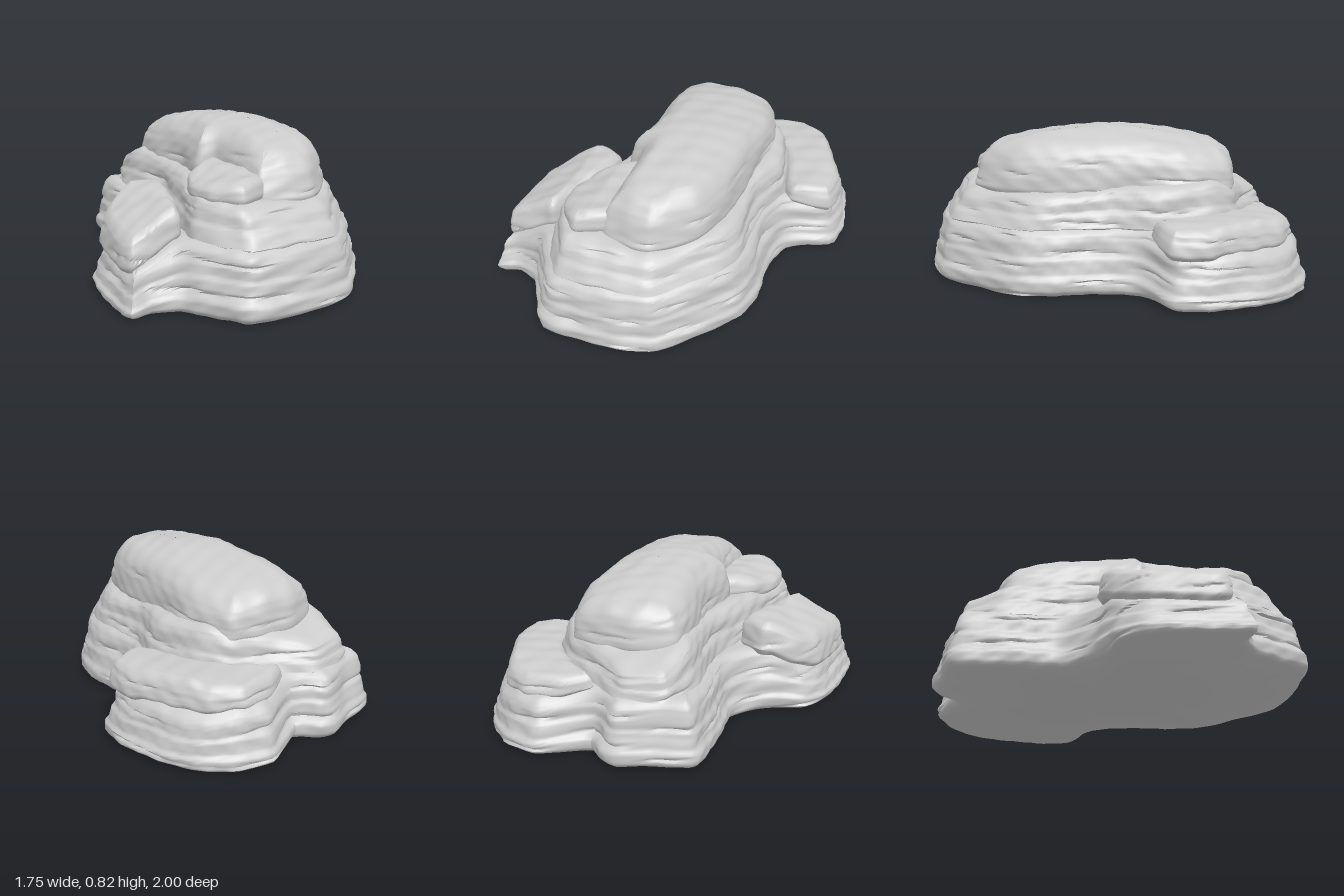
import * as THREE from 'three';
import { toCreasedNormals } from 'three/addons/utils/BufferGeometryUtils.js';

const N = 150;
const material = new THREE.MeshStandardMaterial({ color: 0xcccccc });
const { lerp, clamp } = THREE.MathUtils;

// Smooth repeatable roughness: broad dents, fine dents and short horizontal cracks
const rough = (x, y, z) =>
  0.4 * Math.sin(9 * x + 4 * z + 21 * y) * Math.sin(10 * z - 6 * x + 13 * y + 1) +
  0.35 * Math.sin(31 * z + 27 * x - 29 * y) * Math.sin(11 * x - 17 * z + 39 * y) -
  1.1 * Math.max(0, Math.sin(88 * y + 2 * x - 3 * z)) ** 4
    * Math.max(0, Math.sin(9 * x - 8 * z + 47 * y)) ** 2;

// Profile value: list of [height fraction, inset], linearly interpolated
function insetAt(profile, t) {
  for (let k = 1; k < profile.length; k++) {
    const [t0, a] = profile[k - 1], [t1, b] = profile[k];
    if (t <= t1) return lerp(a, b, (t - t0) / (t1 - t0));
  }
  return profile[profile.length - 1][1];
}

// A rock bed: closed plan outline, side profile, bottom and top height fields.
// The top closes in rings towards a spine [x, z0, z1]; lean tilts the front face back.
function slab(name, { outline, profile, spine, bottom, top, amp = 0.01, sides = 22, lean = 0 }) {
  const curve = new THREE.CatmullRomCurve3(
    outline.map(([x, z]) => new THREE.Vector3(x, 0, z)), true, 'catmullrom', 0.28);
  const pts = curve.getSpacedPoints(N).slice(0, N);
  const pos = [], index = [];
  const toSpine = (x, z, s) => [lerp(spine[0], x, s), lerp(clamp(z, spine[1], spine[2]), z, s)];
  const ring = (t, s) => pts.forEach((p, i) => {
    const a = pts[(i + N - 2) % N], b = pts[(i + 2) % N];
    const dx = b.x - a.x, dz = b.z - a.z, len = Math.hypot(dx, dz);
    const y0 = bottom(p.x, p.z), y1 = top(p.x, p.z);
    const d = amp * rough(p.x, lerp(y0, y1, t), p.z) - insetAt(profile, t);
    const [x, z] = toSpine(p.x + dz / len * d, p.z - dx / len * d, s);
    const y = lerp(bottom(x, z), top(x, z), t);
    pos.push(x, y + 0.012 * rough(x, 0.04, z) * (t > 0.9 ? 1 : 0.4), z - lean * t * Math.max(0, z));
  });
  for (const s of [0, 0.5]) ring(0, s);
  for (let j = 0; j <= sides; j++) ring(j / sides, 1);
  for (let j = 9; j >= 0; j--) ring(1, j / 10);
  const rings = pos.length / 3 / N;
  for (let j = 0; j < rings - 1; j++) for (let i = 0; i < N; i++) {
    const a = j * N + i, b = j * N + (i + 1) % N;
    index.push(a, a + N, b, b, a + N, b + N);
  }
  const geo = new THREE.BufferGeometry();
  geo.setAttribute('position', new THREE.Float32BufferAttribute(pos, 3));
  geo.setIndex(index);
  const mesh = new THREE.Mesh(toCreasedNormals(geo, 0.9), material);
  mesh.name = name;
  return mesh;
}

// Top of the lowest bed: level in the middle, dropping over both side lobes
const baseTop = (x, z) => 0.345 - 0.5 * Math.max(0, -x - 0.55) - 0.28 * Math.max(0, x - 0.55)
  - 0.12 * clamp((x - 0.1) * 4, 0, 1) * Math.max(0, -z - 0.5);

export function createModel() {
  const rock = new THREE.Group();
  rock.name = 'layeredRock';

  // Wide lowest bed with two side lobes
  rock.add(slab('baseBed', {
    outline: [[-0.02, -0.98], [0.05, -0.96], [0.15, -0.87], [0.25, -0.92], [0.4, -1], [0.6, -0.95],
      [0.75, -0.82], [0.83, -0.65], [0.88, -0.4], [0.85, -0.22], [0.7, -0.14], [0.6, -0.07],
      [0.56, 0.1], [0.57, 0.35], [0.53, 0.55], [0.4, 0.72], [0.2, 0.93], [0, 0.98], [-0.3, 0.99],
      [-0.42, 0.96], [-0.54, 0.78], [-0.62, 0.66], [-0.73, 0.62], [-0.85, 0.64], [-0.88, 0.55],
      [-0.86, 0.3], [-0.82, 0.1], [-0.73, -0.03], [-0.52, -0.13], [-0.4, -0.28], [-0.42, -0.55],
      [-0.4, -0.84], [-0.2, -0.91]],
    profile: [[0, 0.03], [0.07, 0.005], [0.24, 0], [0.32, 0.02], [0.55, 0.03], [0.6, 0.045],
      [0.8, 0.05], [0.92, 0.065], [1, 0.1]],
    spine: [0.02, 0, 0], bottom: () => 0.01, top: baseTop, amp: 0.016, sides: 32,
  }));

  // Middle bed
  rock.add(slab('middleBed', {
    outline: [[0, -0.87], [0.1, -0.81], [0.2, -0.74], [0.4, -0.63], [0.5, -0.48], [0.55, -0.2],
      [0.48, 0.05], [0.48, 0.4], [0.41, 0.58], [0.15, 0.88], [-0.1, 0.91], [-0.36, 0.89],
      [-0.51, 0.6], [-0.44, 0.35], [-0.38, 0.1], [-0.29, -0.2], [-0.31, -0.6], [-0.24, -0.83]],
    profile: [[0, 0.03], [0.08, 0], [0.4, 0.015], [0.5, 0.03], [0.75, 0.035], [0.92, 0.055], [1, 0.09]],
    spine: [0.06, -0.45, 0.5], bottom: () => 0.325,
    top: (x, z) => 0.545 - 0.04 * z - 0.06 * x * clamp(z + 0.3, 0, 1) - 0.4 * Math.max(0, -z - 0.53),
    amp: 0.013, lean: 0.09,
  }));

  // Long rounded summit, steep at the sides
  rock.add(slab('summit', {
    outline: [[-0.2, -0.58], [0, -0.67], [0.2, -0.66], [0.36, -0.6], [0.43, -0.35], [0.41, -0.1],
      [0.38, 0.3], [0.3, 0.56], [0.1, 0.74], [-0.05, 0.73], [-0.18, 0.68], [-0.16, 0.4],
      [-0.16, 0.22], [-0.24, 0.16], [-0.2, -0.1], [-0.22, -0.35]],
    profile: [[0, 0.015], [0.12, 0], [0.4, 0.003], [0.65, 0.012], [0.82, 0.03], [0.93, 0.055], [1, 0.095]],
    spine: [0.09, -0.45, 0.45], bottom: () => 0.49,
    top: (x, z) => 0.82 - 0.22 * (z - 0.05) ** 2 - 0.28 * Math.max(0, x - 0.15)
      - 0.35 * Math.max(0, -0.04 - x),
    lean: 0.06,
  }));

  // Low shoulder stone beside the summit
  rock.add(slab('shoulderStone', {
    outline: [[-0.2, 0.17], [-0.12, 0.2], [-0.12, 0.64], [-0.3, 0.74], [-0.42, 0.61], [-0.44, 0.45],
      [-0.36, 0.28]],
    profile: [[0, 0.015], [0.3, 0], [0.7, 0.005], [0.88, 0.02], [1, 0.05]],
    spine: [-0.24, 0.35, 0.55], bottom: () => 0.51,
    top: (x) => 0.64 - 0.25 * Math.max(0, -x - 0.25), amp: 0.008, sides: 12,
  }));

  // Sloping block on the right lobe
  rock.add(slab('rightBlock', {
    outline: [[-0.5, -0.1], [-0.36, -0.02], [-0.38, 0.15], [-0.52, 0.51], [-0.6, 0.53], [-0.8, 0.54],
      [-0.83, 0.44], [-0.78, 0.1], [-0.67, -0.03]],
    profile: [[0, 0.02], [0.2, 0], [0.6, 0.008], [0.85, 0.02], [1, 0.05]],
    spine: [-0.6, 0.1, 0.35], bottom: (x, z) => baseTop(x, z) - 0.02,
    top: (x) => 0.505 - 0.5 * Math.max(0, -x - 0.53), sides: 14,
  }));

  // Flat block on the left lobe, tucked against the middle bed
  rock.add(slab('leftBlock', {
    outline: [[0.17, -0.78], [0.3, -0.87], [0.5, -0.9], [0.65, -0.81], [0.73, -0.65], [0.83, -0.4],
      [0.81, -0.21], [0.6, -0.15], [0.53, -0.25], [0.47, -0.48], [0.34, -0.63]],
    profile: [[0, 0.02], [0.2, 0], [0.6, 0.008], [0.85, 0.025], [1, 0.05]],
    spine: [0.57, -0.62, -0.4], bottom: (x, z) => baseTop(x, z) - 0.02,
    top: (x, z) => 0.415 - 0.15 * Math.max(0, x - 0.68) - 0.12 * Math.max(0, -z - 0.7),
    sides: 14,
  }));

  return rock;
}
